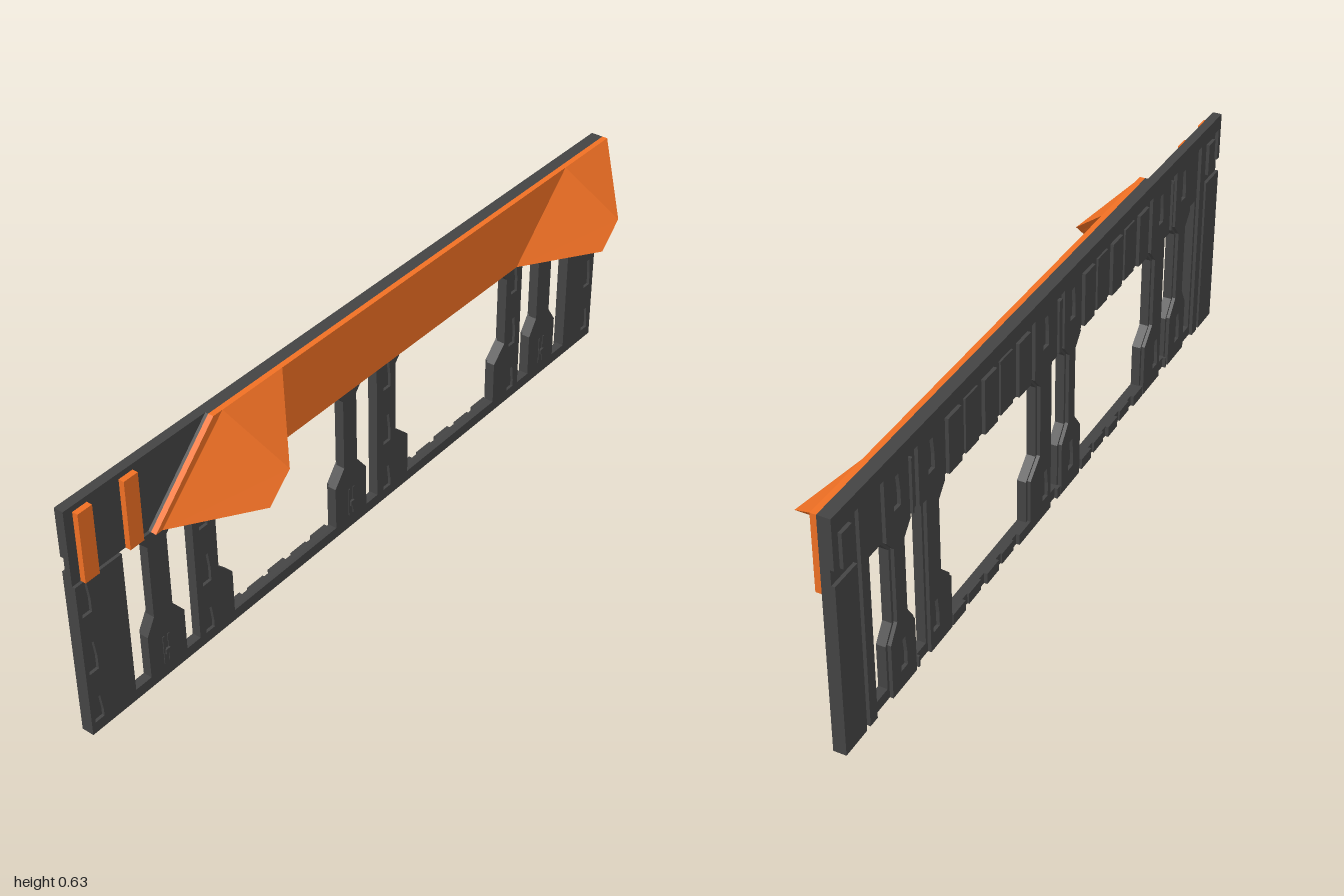
import * as THREE from 'three';

const dark = new THREE.MeshStandardMaterial({ color: 0x444444, flatShading: true });
const orange = new THREE.MeshStandardMaterial({ color: 0xf07024, flatShading: true, side: THREE.DoubleSide });

const H = 0.63, MID = 0.43;                               // full height, bottom of the header
const FRONT = -0.057, CORE_F = -0.065, CORE_B = -0.081, BACK = -0.09;

function box(group, name, x0, x1, y0, y1, z0, z1, material = dark) {
  const m = new THREE.Mesh(new THREE.BoxGeometry(x1 - x0, y1 - y0, Math.abs(z1 - z0)), material);
  m.position.set((x0 + x1) / 2, (y0 + y1) / 2, (z0 + z1) / 2);
  m.name = name;
  group.add(m);
}

function plate(group, name, points, z0, z1, material = dark, holes = []) {
  const shape = new THREE.Shape(points.map(p => new THREE.Vector2(...p)));
  for (const h of holes) shape.holes.push(new THREE.Path(h.map(p => new THREE.Vector2(...p))));
  const geo = new THREE.ExtrudeGeometry(shape, { depth: z1 - z0, bevelEnabled: false });
  geo.translate(0, 0, z0);
  const m = new THREE.Mesh(geo, material);
  m.name = name;
  group.add(m);
}

// Tapered key slot outline
const slot = (x, y) => [[x - 0.014, y - 0.042], [x - 0.014, y - 0.005], [x - 0.008, y + 0.042],
  [x + 0.008, y + 0.042], [x + 0.014, y - 0.005], [x + 0.014, y - 0.042]];

// Post outline: wide foot, narrow neck, flared head; a side with equal foot and neck stays straight
function postOutline([footL, neckL, neckR, footR], inset = 0) {
  const side = (foot, neck, s) => foot === neck
    ? [[foot - s * inset, 0], [foot - s * inset, MID]]
    : [[foot, 0], [foot, 0.15], [neck, 0.195], [neck, 0.395], [neck + s * 0.03, MID]]
      .map(([x, y]) => [x - s * inset, y]);
  return [...side(footR, neckR, 1), ...side(footL, neckL, -1).reverse()];
}

// Folded hood: sloping side and triangular top, open below and on its right
function hood(group, dx) {
  const o = [[-0.75, 0.43, -0.042], [-0.54, 0.63, -0.042], [-0.34, 0.63, -0.042],
    [-0.48, 0.495, 0.092], [-0.55, 0.43, 0.092]];
  const i = [[-0.72, 0.43, -0.042], [-0.55, 0.60, -0.042], [-0.37, 0.60, -0.042],
    [-0.487, 0.49, 0.074], [-0.55, 0.43, 0.074]];
  const p = [...o, ...i];
  const polys = [[0, 4, 3, 1], [1, 3, 2], [5, 6, 8, 9], [6, 7, 8],
    [4, 9, 8, 3], [3, 8, 7, 2], [0, 5, 9, 4]];
  const pos = [];
  for (const f of polys)
    for (let k = 1; k < f.length - 1; k++)
      for (const v of [f[0], f[k], f[k + 1]]) pos.push(p[v][0] + dx, p[v][1], p[v][2]);
  const geo = new THREE.BufferGeometry();
  geo.setAttribute('position', new THREE.Float32BufferAttribute(pos, 3));
  geo.computeVertexNormals();
  const m = new THREE.Mesh(geo, orange);
  m.name = 'hood';
  group.add(m);
}

export function createModel() {
  const root = new THREE.Group();
  root.name = 'wallFrame';

  // Posts: [foot left, neck left, neck right, foot right, front slot x or null]
  const posts = [
    [-1, -1, -0.86, -0.86, -0.975], [-0.81, -0.785, -0.725, -0.69, null],
    [-0.645, -0.645, -0.57, -0.525, -0.61], [-0.145, -0.11, -0.06, -0.025, null],
    [0.02, 0.02, 0.095, 0.145, 0.06], [0.525, 0.57, 0.64, 0.64, 0.605],
    [0.69, 0.72, 0.78, 0.81, null], [0.865, 0.865, 1, 1, 0.97],
  ];
  posts.forEach((p, n) => {
    const g = new THREE.Group();
    g.name = 'post';
    const slotX = p[4], mid = (p[1] + p[2]) / 2;
    const holes = slotX === null ? [] : [0.055, 0.215, 0.38].map(y => slot(slotX, y));
    plate(g, 'postCore', postOutline(p), CORE_B, CORE_F);
    plate(g, 'postFront', postOutline(p), CORE_F, FRONT, dark, holes);
    if (slotX === null) {
      // Small clip on the foot
      for (const s of [-1, 1]) box(g, 'clipBar', mid + s * 0.008 - 0.003, mid + s * 0.008 + 0.003, 0.04, 0.12, FRONT, -0.055);
      box(g, 'clipCatch', mid - 0.007, mid + 0.007, 0.068, 0.082, FRONT, -0.051);
    }
    if (n > 0 && n < posts.length - 1) {
      // Back rib, carried up across the header
      plate(g, 'backRib', postOutline(p, 0.008), BACK, CORE_B, dark, [slot(mid, 0.09)]);
      const l = p[1] - 0.02, r = p[2] + 0.02;
      plate(g, 'headerRib', [[l, MID], [r, MID], [r, 0.59], [l, 0.59]], BACK, CORE_B, dark, [slot(mid, 0.53)]);
    }
    root.add(g);
  });

  // End posts: grooved back strips with a notch in the outer edge
  for (const s of [-1, 1]) {
    const strip = (a, b, y0, y1) =>
      box(root, 'endStrip', Math.min(s * a, s * b), Math.max(s * a, s * b), y0, y1, BACK, CORE_B);
    strip(0.915, 1, 0, 0.46);
    strip(0.985, 1, 0.50, 0.59);
    strip(0.925, 0.965, 0.48, 0.57);
    strip(0.87, 0.90, 0, 0.59);
  }

  // Bottom rail and header sheet
  box(root, 'bottomRail', -1, 1, 0, 0.03, FRONT, CORE_B);
  box(root, 'header', -1, 1, MID, H, CORE_F, CORE_B);
  box(root, 'topRail', -1, 1, 0.59, H, CORE_B, BACK);
  plate(root, 'headerFront', [[-0.77, MID], [1, MID], [1, H], [-0.57, H]], CORE_F, FRONT);

  // Battens on the back, with matching stubs on the bottom rail
  const battens = (x0, x1, n) => {
    const step = (x1 - x0) / n;
    for (let k = 0; k < n; k++) {
      const a = x0 + k * step + 0.012, b = a + step - 0.024;
      const z = k % 2 ? -0.086 : BACK;
      box(root, 'batten', a, b, MID, 0.575, CORE_B, z);
      box(root, 'railStub', a, b, 0, 0.03, CORE_B, z);
    }
  };
  battens(-0.54, -0.14, 5);
  battens(0.125, 0.54, 5);
  battens(-0.70, -0.67, 1);
  battens(0.67, 0.70, 1);
  battens(-0.04, 0.0, 1);

  // Coloured board with its slanted end, hoods and side strips
  plate(root, 'board', [[-0.77, MID], [1, MID], [1, H], [-0.57, H]], FRONT, -0.042, orange);
  hood(root, 0);
  hood(root, 1.34);
  box(root, 'colourStrip', -0.975, -0.933, MID, 0.615, CORE_F, -0.05, orange);
  box(root, 'colourStrip', -0.84, -0.798, MID, 0.615, CORE_F, -0.05, orange);
  return root;
}
